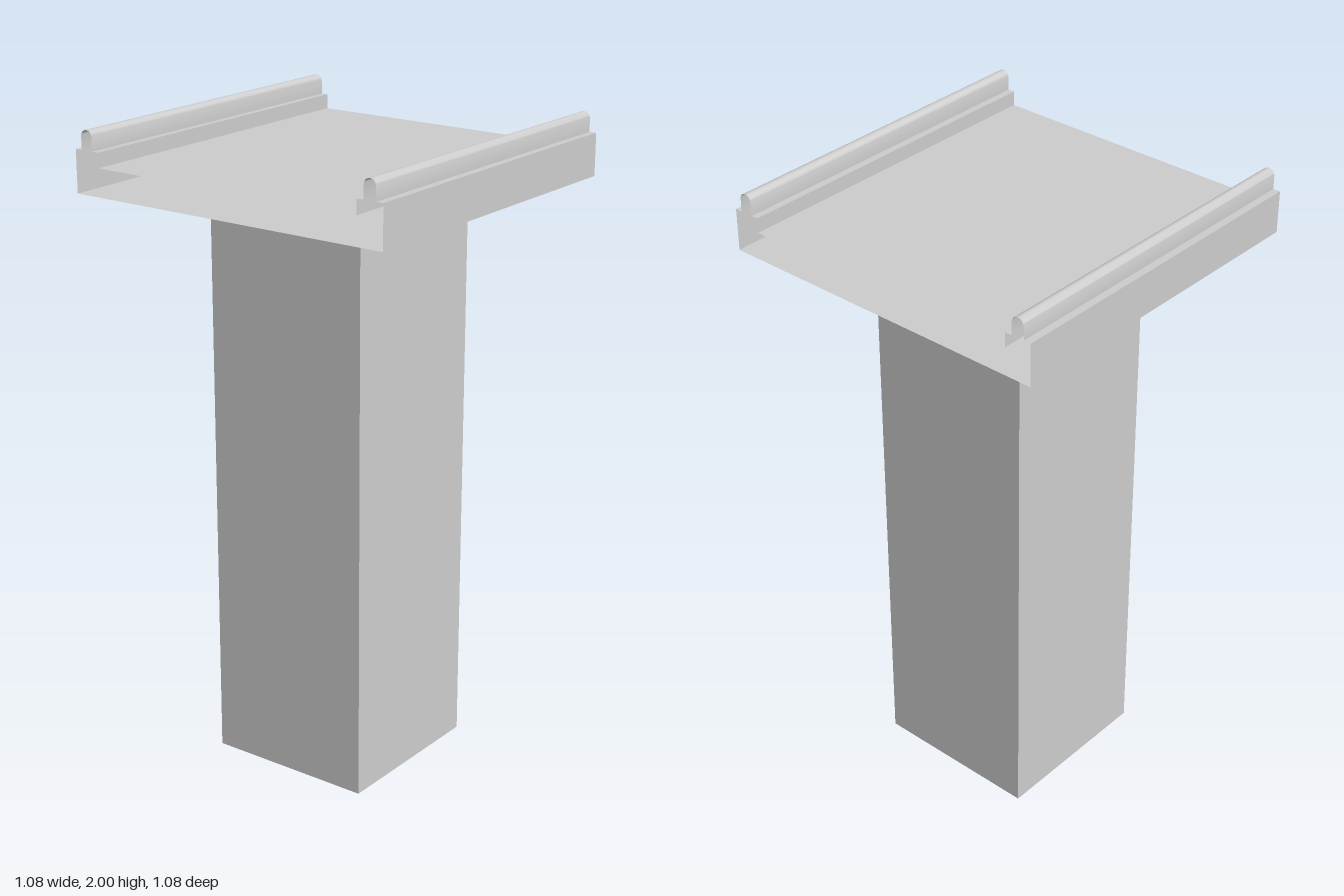
import * as THREE from 'three';
import { toCreasedNormals } from 'three/addons/utils/BufferGeometryUtils.js';

const HALF = 0.54;      // half width and half length of the deck
const SOFFIT_Y = 1.81;  // underside of the deck, top of the pier
const DECK_Y = 1.895;
const LEDGE_Y = 1.94;

const material = new THREE.MeshStandardMaterial({ color: 0xcccccc, side: THREE.DoubleSide });

// Sweeps an open, counter-clockwise [x, y] profile along z, without end caps
function sweep(name, profile) {
  const positions = [];
  for (let i = 0; i < profile.length - 1; i++) {
    const [ax, ay] = profile[i];
    const [bx, by] = profile[i + 1];
    positions.push(
      ax, ay, HALF, ax, ay, -HALF, bx, by, -HALF,
      ax, ay, HALF, bx, by, -HALF, bx, by, HALF
    );
  }
  const geometry = new THREE.BufferGeometry();
  geometry.setAttribute('position', new THREE.Float32BufferAttribute(positions, 3));
  const mesh = new THREE.Mesh(toCreasedNormals(geometry, Math.PI / 5), material);
  mesh.name = name;
  return mesh;
}

// Edge wall, outer ledge, round-headed rail and inner step
function curbProfile() {
  const points = [[HALF, SOFFIT_Y], [HALF, LEDGE_Y], [0.517, LEDGE_Y]];
  const radius = 0.02, centreX = 0.497, centreY = 2 - radius;
  for (let i = 0; i <= 12; i++) {
    const a = (i / 12) * Math.PI;
    points.push([centreX + radius * Math.cos(a), centreY + radius * Math.sin(a)]);
  }
  points.push([0.477, LEDGE_Y], [0.455, LEDGE_Y], [0.455, DECK_Y]);
  return points;
}

export function createModel() {
  const model = new THREE.Group();
  model.name = 'bridgePier';

  // Square hollow pier, open at the bottom
  const pierGeometry = new THREE.CylinderGeometry(0.27 * Math.SQRT2, 0.27 * Math.SQRT2, SOFFIT_Y, 4, 1, true);
  pierGeometry.rotateY(Math.PI / 4);
  pierGeometry.translate(0, SOFFIT_Y / 2, 0);
  const pier = new THREE.Mesh(toCreasedNormals(pierGeometry, Math.PI / 5), material);
  pier.name = 'pier';
  model.add(pier);

  // Deck shell, open at both ends
  model.add(sweep('deckUnderside', [[-HALF, SOFFIT_Y], [HALF, SOFFIT_Y]]));
  model.add(sweep('deckTop', [[0.455, DECK_Y], [-0.455, DECK_Y]]));

  // Curbs with rails on both sides
  const curb = curbProfile();
  model.add(sweep('leftCurbRail', curb));
  model.add(sweep('rightCurbRail', curb.map(([x, y]) => [-x, y]).reverse()));

  return model;
}
